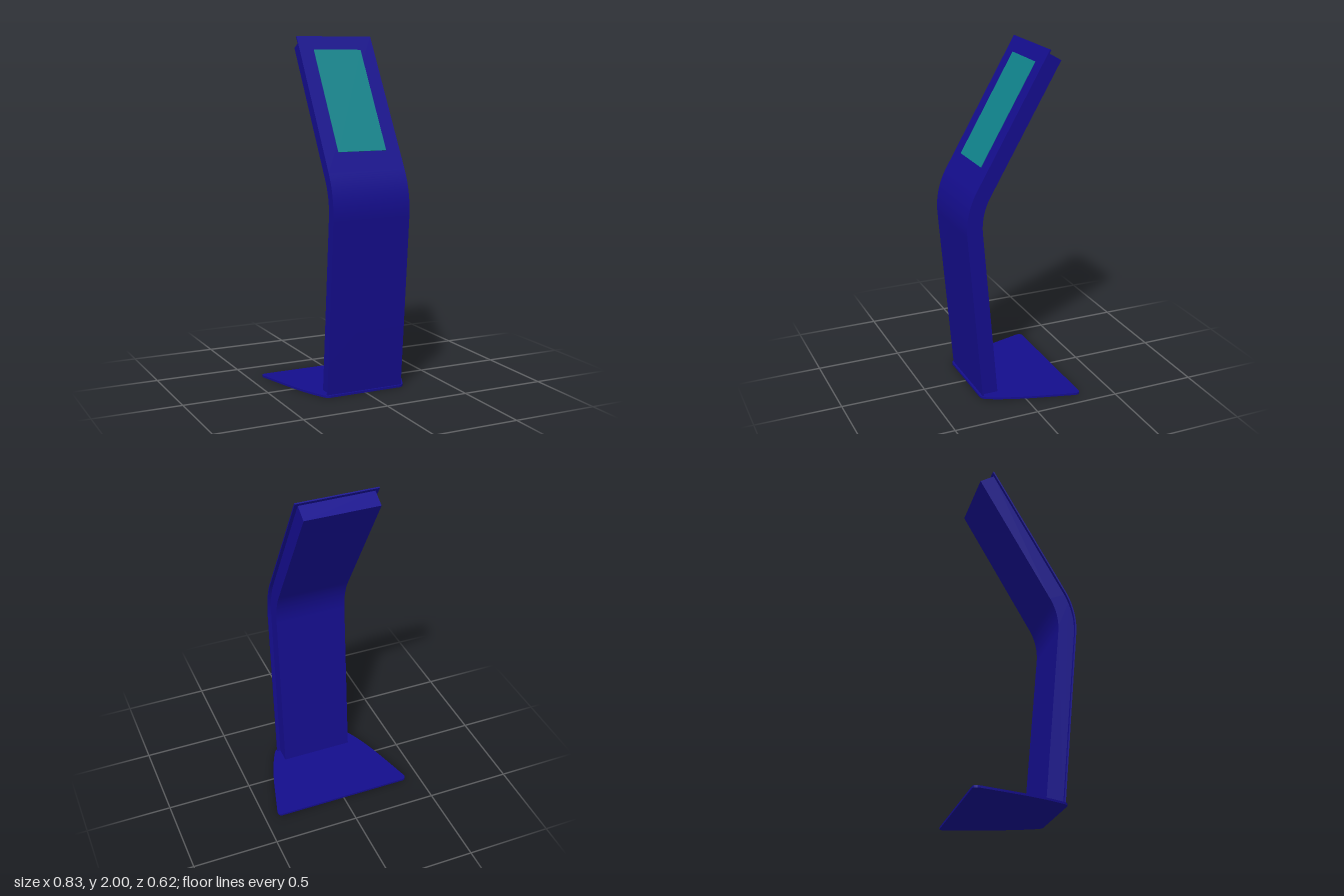
import * as THREE from 'three';
import { toCreasedNormals } from 'three/addons/utils/BufferGeometryUtils.js';

const BLUE = new THREE.MeshStandardMaterial({ color: 0x140d8c });
const TEAL = new THREE.MeshStandardMaterial({ color: 0x10828a });

const LEAN = Math.atan(0.085);      // forward lean of the lower column
const TILT = Math.PI / 6;           // backward tilt of the head
const RADIUS = 0.45;                // bend radius at the front face
const BASE_TOP = 0.012;
const FOOT = new THREE.Vector2(0.225, BASE_TOP);  // (z, y) of the front face
const TIP = new THREE.Vector2(-0.175, 2);

// Bend centre, found from where the two straight front lines meet
const kneeY = (TIP.x + TIP.y * Math.tan(TILT) - FOOT.x + FOOT.y * 0.085) / (0.085 + Math.tan(TILT));
const kneeZ = FOOT.x + 0.085 * (kneeY - FOOT.y);
const tangent = RADIUS * Math.tan((LEAN + TILT) / 2);
const centre = new THREE.Vector2(
  kneeZ - tangent * Math.sin(LEAN) - RADIUS * Math.cos(LEAN),
  kneeY - tangent * Math.cos(LEAN) + RADIUS * Math.sin(LEAN));

// Side path at a depth behind the front face, ending short of the tip
function sidePath(depth, short) {
  const pts = [new THREE.Vector2(FOOT.x - depth / Math.cos(LEAN), FOOT.y)];
  const steps = 20;
  for (let i = 0; i <= steps; i++) {
    const a = -LEAN + (LEAN + TILT) * i / steps;
    const r = RADIUS - depth;
    pts.push(new THREE.Vector2(centre.x + r * Math.cos(a), centre.y + r * Math.sin(a)));
  }
  pts.push(new THREE.Vector2(
    TIP.x - depth * Math.cos(TILT) + short * Math.sin(TILT),
    TIP.y - depth * Math.sin(TILT) - short * Math.cos(TILT)));
  return pts;
}

// Bent slab between two depths, extruded across the width
function bentSlab(name, front, back, width, short) {
  const shape = new THREE.Shape([...sidePath(front, short), ...sidePath(back, short).reverse()]);
  const geo = new THREE.ExtrudeGeometry(shape, { depth: width, bevelEnabled: false });
  geo.translate(0, 0, -width / 2).rotateY(-Math.PI / 2);
  const mesh = new THREE.Mesh(toCreasedNormals(geo, 0.5), BLUE);
  mesh.name = name;
  return mesh;
}

// Flat foot plate, narrow at the front and wide at the back
function basePlate() {
  const s = new THREE.Shape();   // shape y is -z
  s.moveTo(-0.215, -0.238);
  s.lineTo(0.215, -0.238);
  s.quadraticCurveTo(0.235, -0.238, 0.25, -0.217);
  s.quadraticCurveTo(0.315, -0.095, 0.368, 0.105);
  s.lineTo(0.416, 0.28);
  s.quadraticCurveTo(0.422, 0.314, 0.39, 0.314);
  s.lineTo(-0.39, 0.314);
  s.quadraticCurveTo(-0.422, 0.314, -0.416, 0.28);
  s.lineTo(-0.368, 0.105);
  s.quadraticCurveTo(-0.315, -0.095, -0.25, -0.217);
  s.quadraticCurveTo(-0.235, -0.238, -0.215, -0.238);
  const geo = new THREE.ExtrudeGeometry(s, { depth: BASE_TOP, bevelEnabled: false, curveSegments: 14 });
  geo.rotateX(-Math.PI / 2);
  const mesh = new THREE.Mesh(toCreasedNormals(geo, 0.6), BLUE);
  mesh.name = 'basePlate';
  return mesh;
}

// Display set into the tilted head
function screen() {
  const y = 1.645;
  const mesh = new THREE.Mesh(new THREE.BoxGeometry(0.295, 0.555 / Math.cos(TILT), 0.006), TEAL);
  mesh.position.set(0, y, TIP.x + (TIP.y - y) * Math.tan(TILT));
  mesh.rotation.x = -TILT;
  mesh.name = 'screen';
  return mesh;
}

export function createModel() {
  const group = new THREE.Group();
  group.name = 'kiosk';
  group.add(
    basePlate(),
    bentSlab('frontPanel', 0, 0.008, 0.468, 0),
    bentSlab('columnBody', 0.008, 0.1, 0.428, 0.02),
    screen());
  return group;
}
